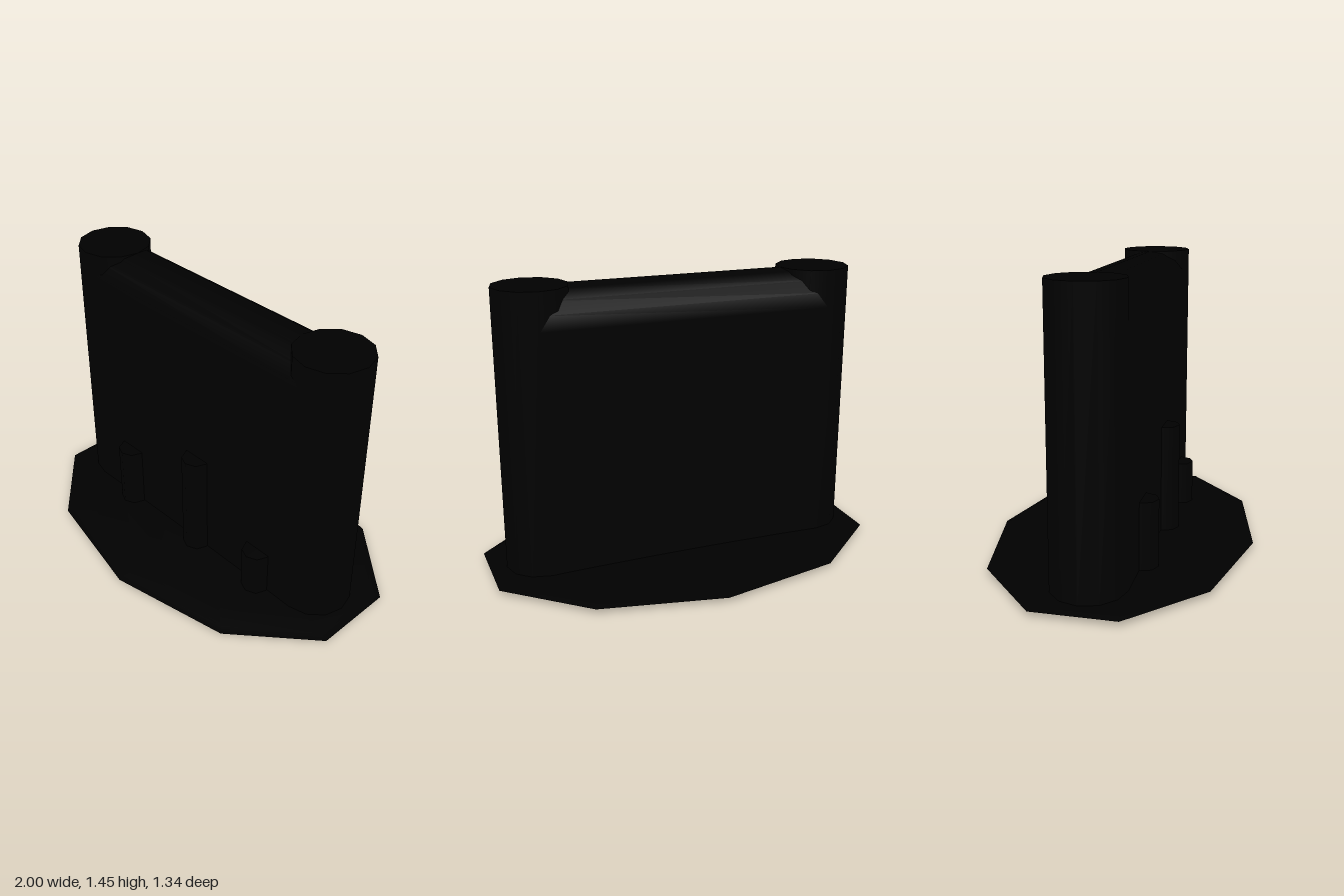
import * as THREE from 'three';

export function createModel() {
  const group = new THREE.Group();
  const black = new THREE.MeshStandardMaterial({ color: 0x000000 });
  black.name = 'black';

  const add = (name, geometry, x, y, z) => {
    const mesh = new THREE.Mesh(geometry, black);
    mesh.name = name;
    mesh.position.set(x, y, z);
    group.add(mesh);
    return mesh;
  };

  const R = 0.185, TOP = 1.455, FLOOR = 0.03, PILLAR_X = 0.735;

  // Thin lens-shaped base with a ten-sided rim
  const base = new THREE.SphereGeometry(1, 10, 10);
  base.rotateY(Math.PI / 2);
  base.scale(1.0515, 0.028, 0.668);
  add('base', base, 0, 0.03, 0);

  // Flat-topped round pillars at both ends
  for (const side of [-1, 1]) {
    const height = TOP - FLOOR;
    add(side > 0 ? 'leftPillar' : 'rightPillar',
      new THREE.CylinderGeometry(R, R, height, 12), side * PILLAR_X, FLOOR + height / 2, 0);
  }

  // Wall between the pillars, with a rounded coping along its top
  const wallHeight = TOP - R - FLOOR;
  add('wall', new THREE.BoxGeometry(PILLAR_X * 2, wallHeight, R * 2), 0, FLOOR + wallHeight / 2, 0);
  const coping = new THREE.CylinderGeometry(R, R, PILLAR_X * 2, 16);
  coping.rotateZ(Math.PI / 2);
  add('coping', coping, 0, TOP - R, 0);

  // Short posts against the front of the wall: x, top
  for (const [x, top] of [[-0.445, 0.39], [0.073, 0.613], [0.51, 0.282]]) {
    const height = top - FLOOR;
    add('frontPost', new THREE.CylinderGeometry(0.075, 0.075, height, 8), x, FLOOR + height / 2, 0.19);
  }

  return group;
}
